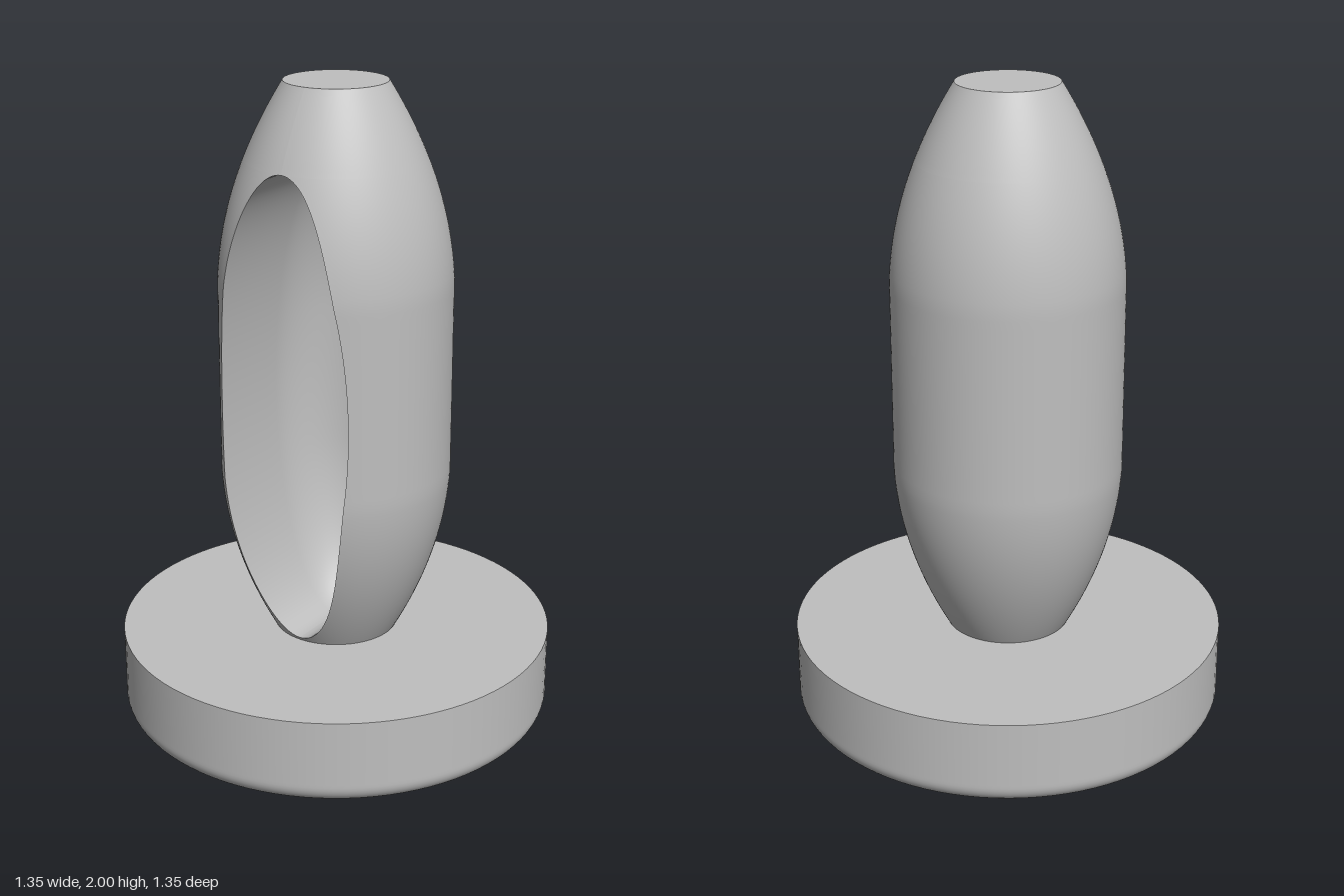
import * as THREE from 'three';

const BASE_TOP = 0.275, BASE_R = 0.675, FILLET = 0.06;
const TOP = 2, BODY_R = 0.355;
const WIN_Y = 1.0275, WIN_H = 0.7425, WIN_W = 0.23; // elliptical opening

// Body radius: straight in the middle, tapering in a curve at both ends
function bodyRadius(y) {
  const t = Math.max(0.8 - y, y - 1.41, 0);
  return BODY_R - 0.053 * t - 0.484 * t * t;
}

// Half width of the opening at a height
function windowHalf(y) {
  const t = (y - WIN_Y) / WIN_H;
  return WIN_W * Math.sqrt(Math.max(0, 1 - t * t));
}

// Depth of the hollow behind the axis
function hollowDepth(y) {
  const t = y < 0.8 ? (0.8 - y) / 0.515 : Math.max(0, (y - 1.25) / 0.52);
  return WIN_W * Math.sqrt(Math.max(0, 1 - t * t));
}

// Skin through rows of cross-section points
function loft(rows) {
  const n = rows[0].length, pos = [], index = [];
  rows.forEach(row => row.forEach(p => pos.push(...p)));
  for (let j = 0; j < rows.length - 1; j++) {
    for (let i = 0; i < n - 1; i++) {
      const a = j * n + i, b = a + 1, c = a + n, d = c + 1;
      index.push(a, b, d, a, d, c);
    }
  }
  const g = new THREE.BufferGeometry();
  g.setAttribute('position', new THREE.Float32BufferAttribute(pos, 3));
  g.setIndex(index);
  g.computeVertexNormals();
  return g;
}

// Outer cross-section, left open at the front where the window is
function outerRow(y) {
  const r = bodyRadius(y), gap = Math.asin(windowHalf(y) / r), row = [];
  for (let i = 0; i <= 96; i++) {
    const a = gap + (i / 96) * 2 * (Math.PI - gap);
    row.push([r * Math.sin(a), y, r * Math.cos(a)]);
  }
  return row;
}

// Hollow cross-section: straight walls running into a rounded back
function hollowRow(y) {
  const w = windowHalf(y), d = hollowDepth(y), r = bodyRadius(y);
  const rim = Math.sqrt(r * r - w * w), row = [];
  for (let i = 0; i < 6; i++) row.push([-w, y, rim * (1 - i / 6)]);
  for (let i = 0; i <= 40; i++) {
    const a = Math.PI * i / 40;
    row.push([-w * Math.cos(a), y, -d * Math.sin(a)]);
  }
  for (let i = 1; i <= 6; i++) row.push([w, y, rim * i / 6]);
  return row;
}

export function createModel() {
  const model = new THREE.Group();
  const grey = new THREE.MeshStandardMaterial({ color: 0xbfbfbf });
  grey.name = 'grey';
  const add = (name, geometry, parent) => {
    const mesh = new THREE.Mesh(geometry, grey);
    mesh.name = name;
    parent.add(mesh);
    return mesh;
  };

  // Round base with a rounded lower edge
  const base = new THREE.Group();
  base.name = 'base';
  const profile = [];
  for (let i = 0; i <= 10; i++) {
    const a = (i / 10) * Math.PI / 2;
    profile.push(new THREE.Vector2(BASE_R - FILLET + FILLET * Math.sin(a), FILLET * (1 - Math.cos(a))));
  }
  profile.push(new THREE.Vector2(BASE_R, FILLET + 0.01), new THREE.Vector2(BASE_R, BASE_TOP));
  add('baseSide', new THREE.LatheGeometry(profile, 96), base);
  add('baseTop', new THREE.CircleGeometry(BASE_R, 96).rotateX(-Math.PI / 2), base).position.y = BASE_TOP;
  add('baseBottom', new THREE.CircleGeometry(BASE_R - FILLET, 96).rotateX(Math.PI / 2), base);
  model.add(base);

  // Body with the opening and its hollow
  const body = new THREE.Group();
  body.name = 'body';
  const windowYs = [];
  for (let i = 0; i <= 80; i++) windowYs.push(WIN_Y - WIN_H * Math.cos(Math.PI * i / 80));
  const bodyYs = [BASE_TOP, ...windowYs];
  const windowTop = WIN_Y + WIN_H;
  for (let i = 1; i <= 12; i++) bodyYs.push(windowTop + (TOP - windowTop) * i / 12);
  add('bodyShell', loft(bodyYs.map(outerRow)), body);
  add('hollow', loft(windowYs.map(hollowRow)), body);
  add('bodyTop', new THREE.CircleGeometry(bodyRadius(TOP), 96).rotateX(-Math.PI / 2), body).position.y = TOP;
  model.add(body);

  return model;
}
